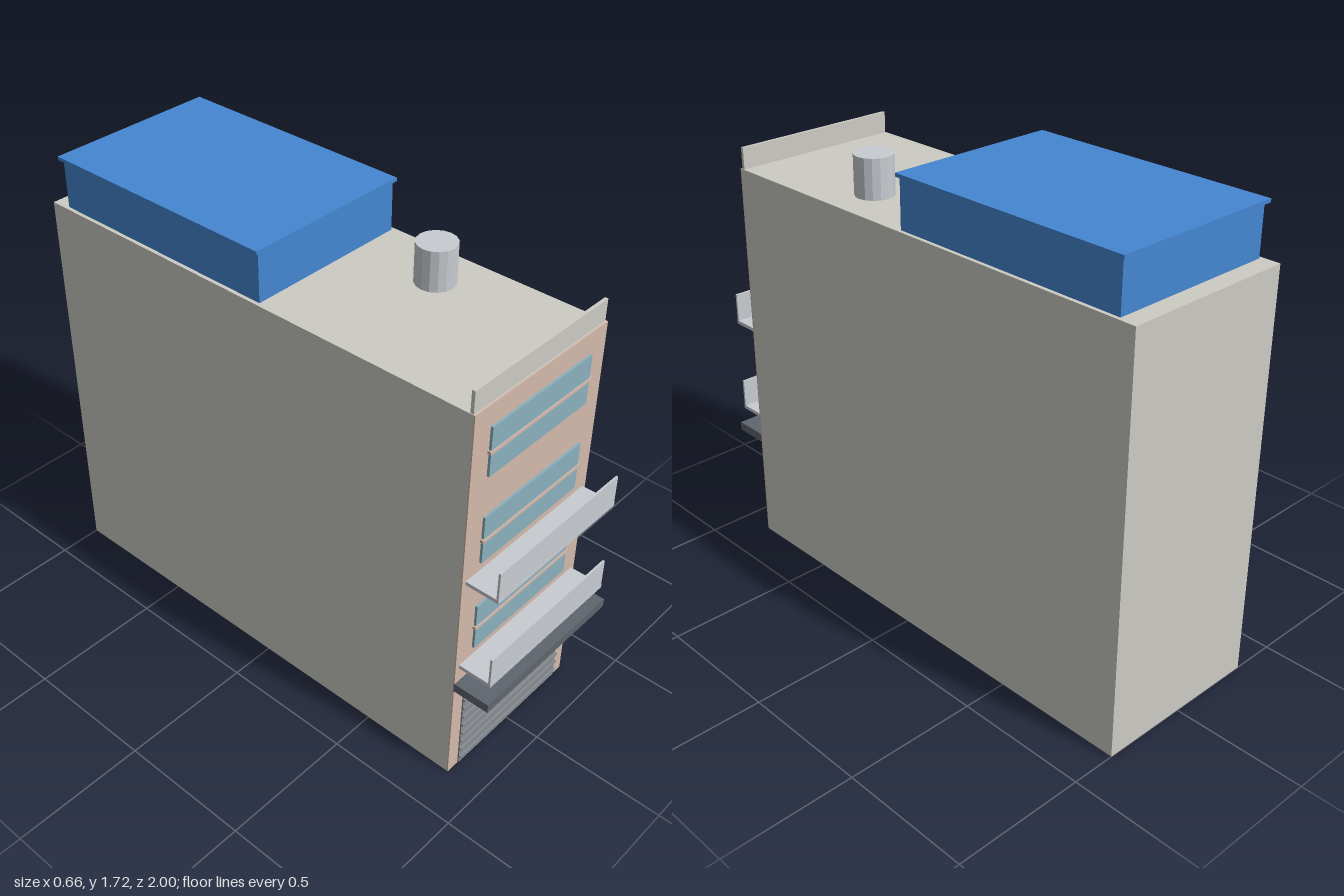
import * as THREE from 'three';

const material = (color) => new THREE.MeshStandardMaterial({ color, flatShading: true });

export function createModel() {
  const model = new THREE.Group();
  model.name = 'townhouse';

  const concrete = material(0xcccbc4);
  const plaster = material(0xd4baac);
  const blue = material(0x4486d2);
  const glass = material(0x8bb0be);
  const pale = material(0xc8ccd1);
  const steel = material(0x888d92);
  const dark = material(0x5f666d);

  // Box given by its extents along each axis
  const box = (name, mat, [x0, x1], [y0, y1], [z0, z1], parent = model) => {
    const mesh = new THREE.Mesh(new THREE.BoxGeometry(x1 - x0, y1 - y0, z1 - z0), mat);
    mesh.position.set((x0 + x1) / 2, (y0 + y1) / 2, (z0 + z1) / 2);
    mesh.name = name;
    parent.add(mesh);
    return mesh;
  };
  const wide = (half) => [-half, half];
  const group = (name) => {
    const g = new THREE.Group();
    g.name = name;
    model.add(g);
    return g;
  };

  // Main block, plastered front and parapet
  box('body', concrete, wide(0.332), [0, 1.525], [-1, 0.858]);
  box('facade', plaster, wide(0.332), [0, 1.525], [0.858, 0.863]);
  box('parapet', concrete, wide(0.329), [1.525, 1.605], [0.843, 0.855]);

  // Rooftop room with overhanging lid
  box('rooftopRoom', blue, wide(0.318), [1.525, 1.705], [-0.932, 0]);
  box('rooftopLid', blue, wide(0.331), [1.705, 1.718], [-0.945, 0.007]);

  // Water tank
  const tank = new THREE.Mesh(new THREE.CylinderGeometry(0.071, 0.071, 0.147, 16), pale);
  tank.position.set(0.157, 1.5985, 0.322);
  tank.name = 'waterTank';
  model.add(tank);

  // Windows, each with a thin middle rail
  [0.64, 1.01, 1.353].forEach((y) => {
    const win = group('window');
    box('pane', glass, wide(0.251), [y - 0.092, y + 0.092], [0.858, 0.872], win);
    box('rail', plaster, wide(0.257), [y - 0.006, y + 0.006], [0.858, 0.876], win);
  });

  // Balconies: floor slab and front panel
  [0.498, 0.867].forEach((y) => {
    const balcony = group('balcony');
    box('floor', pale, wide(0.315), [y, y + 0.014], [0.86, 0.99], balcony);
    box('frontPanel', pale, wide(0.315), [y + 0.014, y + 0.122], [0.981, 0.989], balcony);
  });

  // Canopy over the garage
  box('canopy', dark, wide(0.332), [0.402, 0.436], [0.86, 1]);

  // Roller shutter with raised ribs
  const shutter = group('rollerShutter');
  box('shutterPanel', steel, wide(0.28), [0.006, 0.39], [0.858, 0.868], shutter);
  for (let i = 0; i < 9; i++) {
    const y = 0.036 + i * 0.0405;
    box('shutterRib', steel, wide(0.28), [y - 0.004, y + 0.004], [0.866, 0.875], shutter);
  }

  return model;
}
